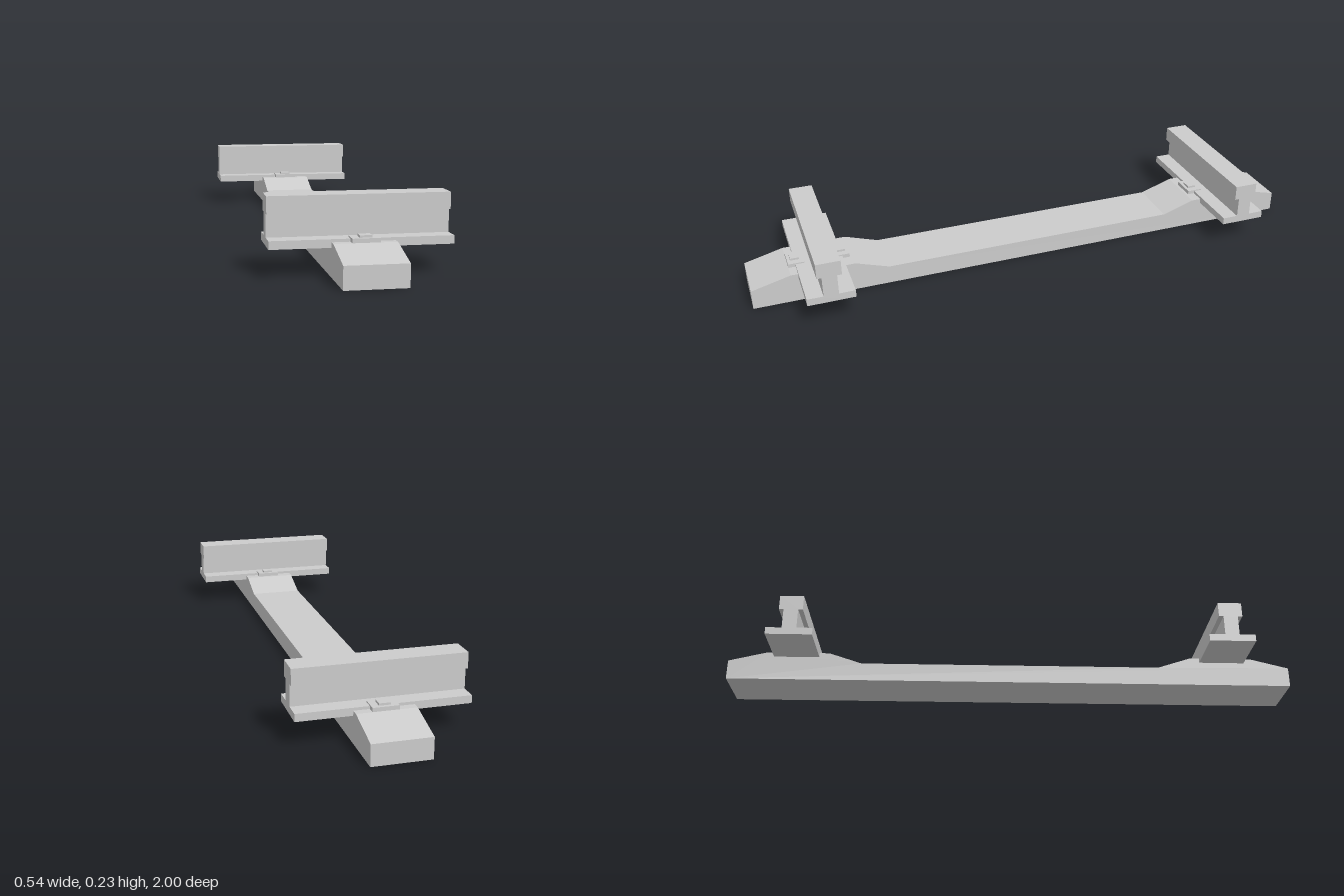
import * as THREE from 'three';

const material = new THREE.MeshStandardMaterial({ color: 0xcccccc, flatShading: true });

// Extrude a [z, y] outline along x between x0 and x1
function extrudeAlongX(name, points, x0, x1) {
  const shape = new THREE.Shape(points.map(([z, y]) => new THREE.Vector2(-z, y)));
  const geometry = new THREE.ExtrudeGeometry(shape, { depth: x1 - x0, bevelEnabled: false });
  geometry.rotateY(Math.PI / 2).translate(x0, 0, 0);
  const mesh = new THREE.Mesh(geometry, material);
  mesh.name = name;
  return mesh;
}

// Box given by its extents on each axis
function block(name, [x0, x1], [y0, y1], [z0, z1]) {
  const mesh = new THREE.Mesh(new THREE.BoxGeometry(x1 - x0, y1 - y0, z1 - z0), material);
  mesh.position.set((x0 + x1) / 2, (y0 + y1) / 2, (z0 + z1) / 2);
  mesh.name = name;
  return mesh;
}

// Close a half outline by mirroring it across the first axis
const mirrored = (half) => [...half, ...half.map(([z, y]) => [-z, y]).reverse()];

export function createModel() {
  const model = new THREE.Group();
  model.name = 'railTrackSection';

  // Sleeper with a raised seat under each rail
  const sleeperHalf = [[1, 0], [1, 0.069], [0.865, 0.103], [0.645, 0.103], [0.53, 0.065]];
  model.add(extrudeAlongX('sleeper', mirrored(sleeperHalf), -0.091, 0.097));

  // Rail section: foot, web and head
  const railHalf = [
    [0.08, 0.087], [0.08, 0.112], [0.025, 0.112],
    [0.025, 0.182], [0.041, 0.182], [0.041, 0.234],
  ];

  for (const side of [1, -1]) {
    const assembly = new THREE.Group();
    assembly.name = side > 0 ? 'frontRailAssembly' : 'backRailAssembly';
    assembly.position.z = side * 0.76;
    assembly.add(extrudeAlongX('rail', mirrored(railHalf), -0.272, 0.272));

    // Fastening clips gripping both edges of the foot
    for (const edge of [1, -1]) {
      const span = (a, b) => [a * edge, b * edge].sort((p, q) => p - q);
      assembly.add(block('clipPlate', [-0.036, 0.047], [0.09, 0.116], span(0.05, 0.105)));
      assembly.add(block('clipBlock', [-0.012, 0.024], [0.116, 0.123], span(0.064, 0.094)));
    }
    model.add(assembly);
  }
  return model;
}
